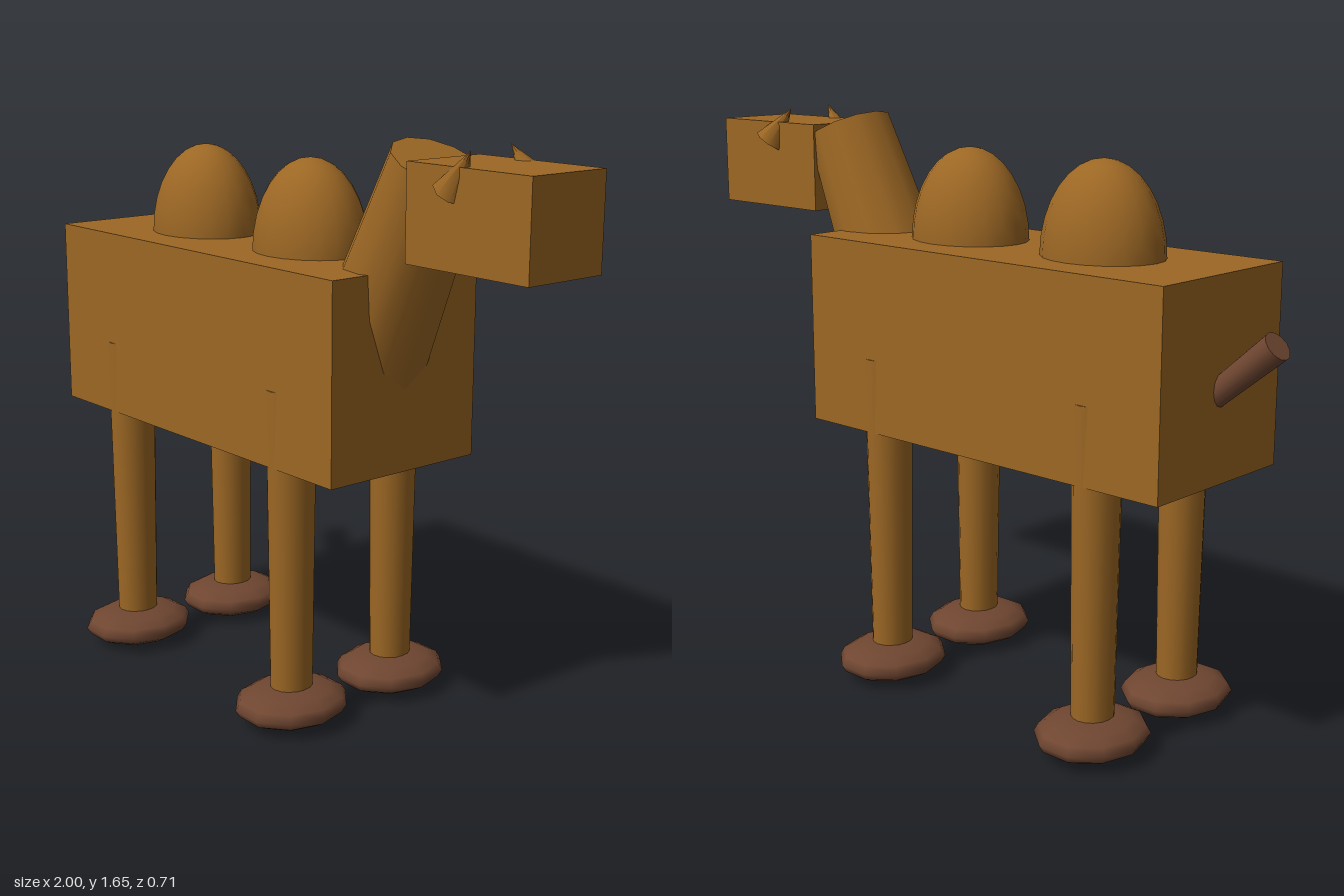
import * as THREE from 'three';

export function createModel() {
  const model = new THREE.Group();
  model.name = 'camel';
  const fur = new THREE.MeshStandardMaterial({ color: 0x9c6724 });
  fur.name = 'tan fur';
  const dark = new THREE.MeshStandardMaterial({ color: 0x6f4631 });
  dark.name = 'dark brown';

  const add = (name, geometry, material, x = 0, y = 0, z = 0) => {
    const mesh = new THREE.Mesh(geometry, material);
    mesh.name = name;
    mesh.position.set(x, y, z);
    model.add(mesh);
    return mesh;
  };

  // Tapered round part running from point a to point b
  const taper = (name, material, a, b, ra, rb, sides) => {
    const from = new THREE.Vector3(...a), to = new THREE.Vector3(...b);
    const dir = to.clone().sub(from);
    const mid = from.clone().add(to).multiplyScalar(0.5);
    const mesh = add(name, new THREE.CylinderGeometry(rb, ra, dir.length(), sides), material, mid.x, mid.y, mid.z);
    mesh.quaternion.setFromUnitVectors(new THREE.Vector3(0, 1, 0), dir.normalize());
    return mesh;
  };

  // Body and head blocks
  add('body', new THREE.BoxGeometry(1.27, 0.55, 0.515), fur, -0.175, 1.035, 0);
  add('head', new THREE.BoxGeometry(0.415, 0.255, 0.255), fur, 0.7925, 1.4825, 0);

  // Humps, half sunk into the back
  for (const x of [-0.417, 0.067]) {
    add('hump', new THREE.SphereGeometry(1, 20, 16), fur, x, 1.31, 0).scale.set(0.179, 0.26, 0.153);
  }

  // Neck leaning forward
  taper('neck', fur, [0.27, 0.962, 0], [0.566, 1.596, 0], 0.167, 0.128, 12);

  // Tail, thicker at its tip
  taper('tail', dark, [-0.666, 0.888, 0], [-0.97, 1.148, 0], 0.03, 0.041, 12);

  // Legs and wide flat feet
  for (const x of [-0.562, 0.213]) {
    for (const side of [1, -1]) {
      const z = side * 0.189;
      add('leg', new THREE.CylinderGeometry(0.066, 0.056, 0.915, 16), fur, x, 0.5175, z).scale.z = 1.11;
      add('foot', new THREE.SphereGeometry(1, 10, 8), dark, x, 0.056, z).scale.set(0.15, 0.056, 0.173);
    }
  }

  // Ears: small cones leaning opposite ways
  taper('leftEar', fur, [0.72, 1.545, 0.108], [0.79, 1.65, 0.114], 0.047, 0, 8);
  taper('rightEar', fur, [0.785, 1.55, -0.128], [0.725, 1.65, -0.092], 0.047, 0, 8);

  return model;
}
